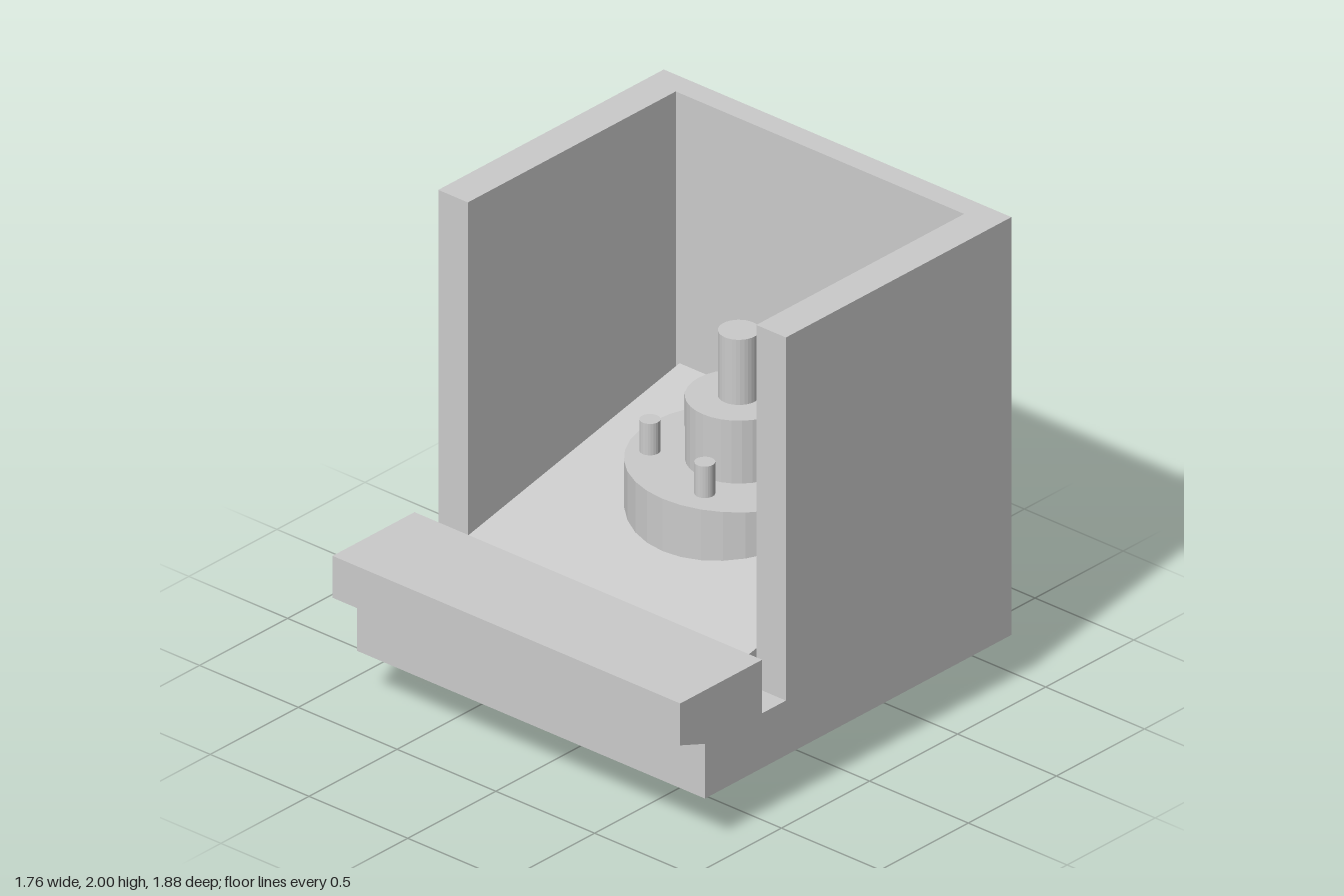
import * as THREE from 'three';

export function createModel() {
  const group = new THREE.Group();
  const grey = new THREE.MeshStandardMaterial({ color: 0xcccccc, flatShading: true });

  function add(name, geometry, x = 0, y = 0, z = 0) {
    const mesh = new THREE.Mesh(geometry, grey);
    mesh.name = name;
    mesh.position.set(x, y, z);
    group.add(mesh);
  }

  // Extrudes a side profile of [z, y] points across x, from x0 to x1
  function slab(name, profile, x0, x1) {
    const shape = new THREE.Shape(profile.map(([z, y]) => new THREE.Vector2(z, y)));
    const geometry = new THREE.ExtrudeGeometry(shape, { depth: x1 - x0, bevelEnabled: false });
    geometry.rotateY(-Math.PI / 2);
    add(name, geometry, x1);
  }

  // Upright cylinder from y0 to y1
  function post(name, radius, y0, y1, x, z, sides = 32) {
    add(name, new THREE.CylinderGeometry(radius, radius, y1 - y0, sides), x, (y0 + y1) / 2, z);
  }

  const outer = 0.88, inner = 0.73, back = -0.94;

  // Front rail with overhanging lip and the groove behind it
  const rail = [[0.8, 0.205], [0.8, 0.44], [0.94, 0.49], [0.94, 0.67], [0.475, 0.67], [0.475, 0.44]];

  // Side walls, carrying the ends of the rail
  const wall = [[back, 0.205], ...rail, [0.34, 0.44], [0.34, 2], [back, 2]];
  slab('leftWall', wall, inner, outer);
  slab('rightWall', wall, -outer, -inner);

  // Floor and rail between the walls, open at the rear
  slab('floorAndRail', [[-0.6, 0.205], ...rail, [-0.6, 0.44]], -inner, inner);

  // Back wall above the rear slot
  add('backWall', new THREE.BoxGeometry(2 * inner, 1.56, 0.1), 0, 1.22, -0.89);

  // Sloping wedge with a tongue through the rear slot
  slab('wedge', [
    [0.55, 0.08], [0.55, 0.545], [-0.839, 0.84], [-0.839, 0.43], [back, 0.43], [back, 0.205],
  ], -0.71, 0.71);

  // Round mount through the wedge, with hub and shaft
  const cz = -0.38;
  post('mountDisc', 0.435, 0, 0.875, 0, cz);
  post('hub', 0.205, 0.875, 1.145, 0, cz);
  post('shaft', 0.08, 1.145, 1.425, 0, cz);

  // Ring of pins, evenly spaced but for slight offsets
  const pins = [[-0.12, -0.67], [0.16, -0.665], [-0.3, -0.465], [0.3, -0.365], [-0.29, -0.2], [0.09, -0.085]];
  pins.forEach(([x, z], i) => post(`pin${i + 1}`, 0.04, 0.875, 1.01, x, z, 24));

  return group;
}
